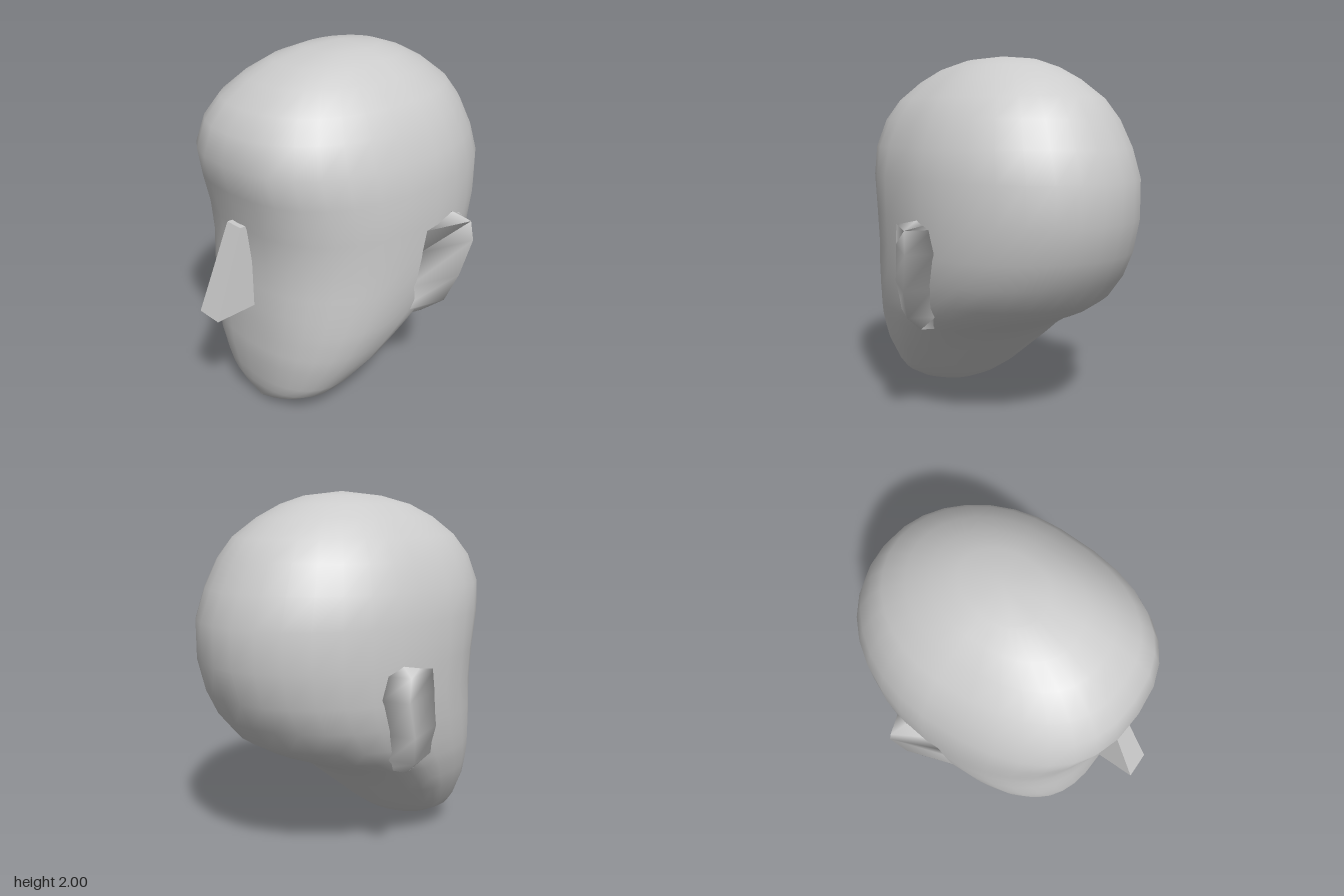
import * as THREE from 'three';
import { mergeVertices } from 'three/addons/utils/BufferGeometryUtils.js';

const grey = new THREE.MeshStandardMaterial({ color: 0xcccccc });

// Skin closed rings of [x, y, z] points, stacked from bottom to top
function loft(rings) {
  const n = rings[0].length;
  const index = [];
  for (let r = 0; r < rings.length - 1; r++) {
    for (let i = 0; i < n; i++) {
      const a = r * n + i, c = r * n + (i + 1) % n;
      index.push(a, a + n, c, a + n, c + n, c);
    }
  }
  const flat = new THREE.BufferGeometry();
  flat.setAttribute('position', new THREE.Float32BufferAttribute(rings.flat(2), 3));
  flat.setIndex(index);
  const geometry = mergeVertices(flat, 1e-4);
  geometry.computeVertexNormals();
  return geometry;
}

function addMesh(group, name, geometry) {
  const mesh = new THREE.Mesh(geometry, grey);
  mesh.name = name;
  group.add(mesh);
}

// Head sections: height, front z, back z, half width, z of the widest point
const HEAD = [
  [0, 0.61, 0.41, 0, 0.51],
  [0.03, 0.62, 0.32, 0.17, 0.47],
  [0.07, 0.64, 0.23, 0.27, 0.43],
  [0.13, 0.66, 0.15, 0.37, 0.39],
  [0.2, 0.67, 0.07, 0.43, 0.35],
  [0.34, 0.69, -0.1, 0.52, 0.25],
  [0.43, 0.69, -0.21, 0.56, 0.19],
  [0.52, 0.69, -0.37, 0.595, 0.13],
  [0.59, 0.69, -0.54, 0.615, 0.08],
  [0.68, 0.69, -0.69, 0.635, 0.02],
  [0.81, 0.685, -0.8, 0.655, -0.05],
  [0.95, 0.68, -0.87, 0.665, -0.1],
  [1.13, 0.695, -0.92, 0.67, -0.1],
  [1.34, 0.745, -0.92, 0.667, -0.1],
  [1.5, 0.78, -0.86, 0.635, -0.1],
  [1.65, 0.735, -0.785, 0.575, -0.09],
  [1.76, 0.65, -0.7, 0.5, -0.08],
  [1.86, 0.52, -0.56, 0.39, -0.07],
  [1.93, 0.37, -0.42, 0.29, -0.06],
  [1.975, 0.18, -0.28, 0.18, -0.05],
  [2, -0.05, -0.05, 0, -0.05],
];

function headRing([y, front, back, width, mid], segments = 32) {
  return Array.from({ length: segments }, (_, i) => {
    const a = (i / segments) * Math.PI * 2;
    const c = Math.cos(a), s = Math.sin(a);
    const p = s > 0 ? 2 / 2.45 : 1; // fuller curve across the face
    const x = width * Math.sign(c) * Math.abs(c) ** p;
    const z = s > 0 ? mid + (front - mid) * s ** p : mid + (mid - back) * s;
    return [x, y, z];
  });
}

// Ear rim from the lobe up: height, x, z
const EAR = [
  [0.53, 0.58, -0.12],
  [0.62, 0.69, -0.18],
  [0.78, 0.74, -0.235],
  [0.98, 0.765, -0.305],
  [1.1, 0.755, -0.285],
  [1.14, 0.66, -0.24],
];

function earGeometry(side) {
  return loft(EAR.map(([y, x, z]) => {
    const ring = [
      [side * x, y, z],
      [side * (x - 0.11), y, z + 0.32],
      [side * (x - 0.14), y, z - 0.05],
    ];
    return side > 0 ? ring : ring.reverse();
  }));
}

// Wedge nose: a box widened and pushed forward towards its base
function noseGeometry() {
  const geometry = new THREE.BoxGeometry(1, 1, 1);
  const p = geometry.attributes.position;
  for (let i = 0; i < p.count; i++) {
    const low = p.getY(i) < 0;
    const tip = low ? 0.925 : 0.73;
    p.setXYZ(i, p.getX(i) * (low ? 0.155 : 0.11), low ? 0.69 : 1.16, p.getZ(i) > 0 ? tip : 0.58);
  }
  geometry.computeVertexNormals();
  return geometry;
}

export function createModel() {
  const group = new THREE.Group();
  group.name = 'head';
  addMesh(group, 'skull', loft(HEAD.map((section) => headRing(section))));
  addMesh(group, 'leftEar', earGeometry(1));
  addMesh(group, 'rightEar', earGeometry(-1));
  addMesh(group, 'nose', noseGeometry());
  return group;
}
